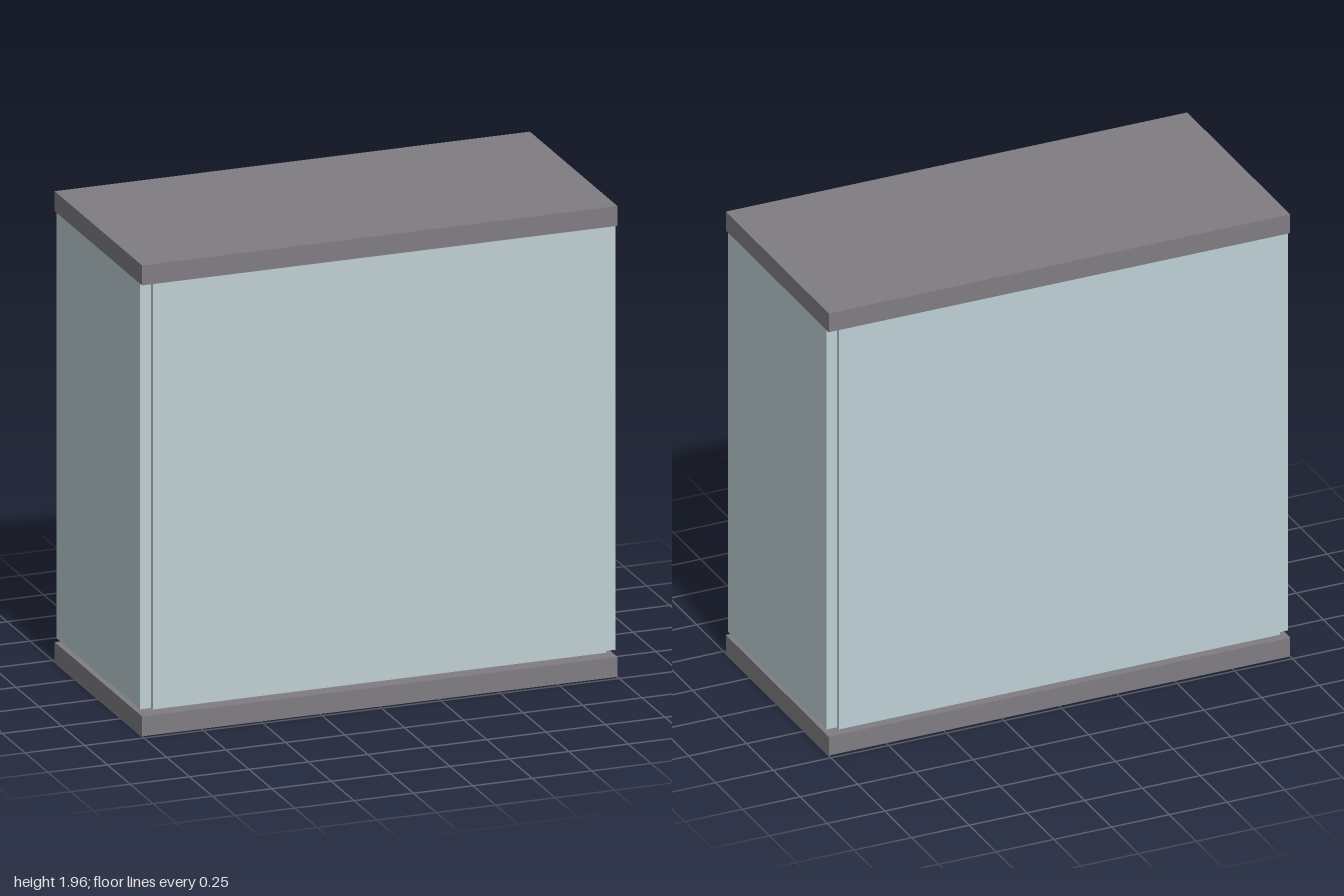
import * as THREE from 'three';

const W = 2, D = 0.958;        // overall width and depth
const SLAB = 0.083;            // lid and base thickness
const TOP = 1.957;             // overall height
const GLASS_BOTTOM = 0.106;    // small open gap above the base
const T = 0.045;               // glass thickness
const INSET = 0.02;            // side panes stop short of the front and back faces

export function createModel() {
  const group = new THREE.Group();
  const frameMat = new THREE.MeshStandardMaterial({ color: 0x807d83 });
  const glassMat = new THREE.MeshStandardMaterial({ color: 0xbfd0d5 });

  const box = (name, mat, w, h, d, x, y, z) => {
    const mesh = new THREE.Mesh(new THREE.BoxGeometry(w, h, d), mat);
    mesh.name = name;
    mesh.position.set(x, y, z);
    group.add(mesh);
  };

  // Slabs at the bottom and top
  box('base', frameMat, W, SLAB, D, 0, SLAB / 2, 0);
  box('lid', frameMat, W, SLAB, D, 0, TOP - SLAB / 2, 0);

  // Glass panes hanging from the lid, meeting in notched corners
  const glassTop = TOP - SLAB;
  const h = glassTop - GLASS_BOTTOM;
  const y = (glassTop + GLASS_BOTTOM) / 2;
  for (const s of [1, -1]) {
    box(s > 0 ? 'frontPane' : 'backPane', glassMat, W - 2 * T, h, T, 0, y, s * (D - T) / 2);
    box(s > 0 ? 'leftPane' : 'rightPane', glassMat, T, h, D - 2 * INSET, s * (W - T) / 2, y, 0);
  }
  return group;
}
